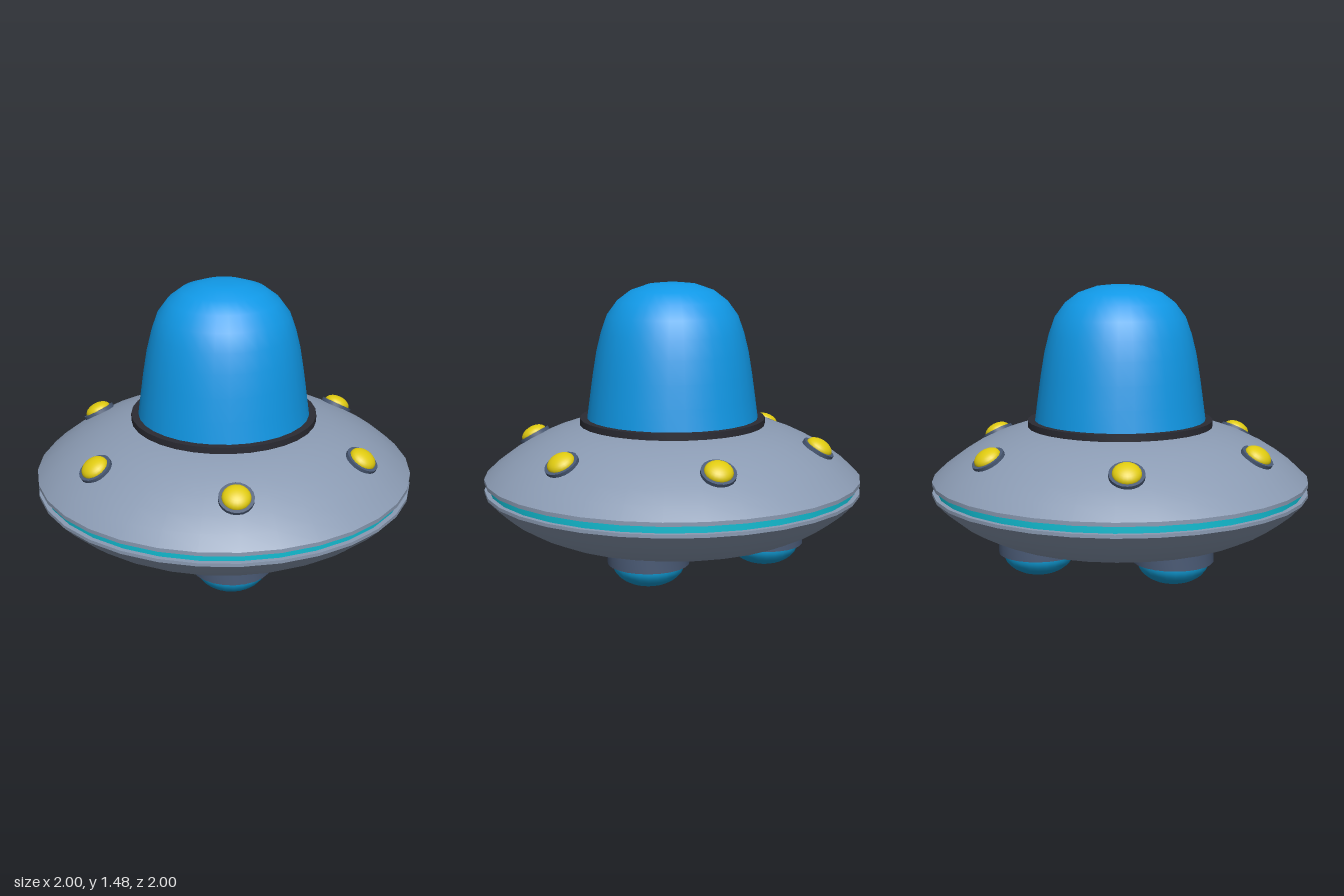
import * as THREE from 'three';
import { toCreasedNormals } from 'three/addons/utils/BufferGeometryUtils.js';

const material = (name, color) => new THREE.MeshStandardMaterial({ name, color });

export function createModel() {
  const hullGrey = material('hull grey', 0x8b9bb3);
  const slate = material('slate', 0x4a5a75);
  const charcoal = material('charcoal', 0x2b2b33);
  const domeBlue = material('dome blue', 0x1098e6);
  const podBlue = material('pod blue', 0x109cd6);
  const cyan = material('cyan', 0x12bdd2);
  const yellow = material('yellow', 0xdfca10);

  const model = new THREE.Group();
  model.name = 'saucer';

  const add = (parent, name, geometry, mat) => {
    const mesh = new THREE.Mesh(geometry, mat);
    mesh.name = name;
    parent.add(mesh);
    return mesh;
  };
  // Profiles run from bottom to top as [radius, height]
  const lathe = (points, segments = 32, crease = 0.6) =>
    toCreasedNormals(new THREE.LatheGeometry(points.map(p => new THREE.Vector2(...p)), segments), crease);

  // Hull: two shallow bowls with a groove between their rims
  add(model, 'lowerHull', lathe([
    [0, 0.13], [0.3, 0.131], [0.5, 0.143], [0.62, 0.16], [0.72, 0.188], [0.81, 0.23],
    [0.88, 0.274], [0.945, 0.327], [1, 0.385], [1, 0.402], [0.97, 0.402],
  ]), hullGrey);
  add(model, 'upperHull', lathe([
    [0.97, 0.44], [1, 0.44], [1, 0.46], [0.935, 0.521], [0.86, 0.576], [0.77, 0.632],
    [0.67, 0.68], [0.58, 0.712], [0.48, 0.737], [0.4, 0.745],
  ]), hullGrey);
  add(model, 'glowStripe', lathe([[0.975, 0.4], [0.975, 0.442]]), cyan);

  // Cockpit
  add(model, 'collar', lathe([[0.44, 0.728], [0.492, 0.728], [0.492, 0.768], [0.4, 0.768]]), charcoal);
  add(model, 'cockpitDome', lathe([
    [0.455, 0.76], [0.439, 0.88], [0.422, 1.0], [0.402, 1.12], [0.377, 1.22], [0.345, 1.31],
    [0.29, 1.385], [0.22, 1.438], [0.125, 1.471], [0.06, 1.478], [0, 1.478],
  ]), domeBlue);

  // Six lights, tilted to lie on the upper hull
  for (let i = 0; i < 6; i++) {
    const angle = i * Math.PI / 3;
    const light = new THREE.Group();
    light.name = 'hullLight';
    light.position.set(0.778 * Math.sin(angle), 0.627, 0.778 * Math.cos(angle));
    light.rotation.set(0.53, angle, 0, 'YXZ');
    add(light, 'lightRing', lathe([[0.088, -0.03], [0.088, 0.014], [0, 0.014]], 20), slate);
    const bulb = new THREE.SphereGeometry(0.072, 20, 8, 0, Math.PI * 2, 0, Math.PI / 2);
    bulb.scale(1, 0.6, 1).translate(0, 0.012, 0);
    add(light, 'lightBulb', bulb, yellow);
    model.add(light);
  }

  // Four landing pods under the hull
  for (let i = 0; i < 4; i++) {
    const angle = i * Math.PI / 2;
    const pod = new THREE.Group();
    pod.name = 'landingPod';
    pod.position.set(0.5 * Math.sin(angle), 0.115, 0.5 * Math.cos(angle));
    add(pod, 'podHousing', lathe([[0, 0], [0.206, 0], [0.206, 0.068], [0, 0.068]], 24), slate);
    const dome = new THREE.SphereGeometry(0.182, 24, 8, 0, Math.PI * 2, Math.PI / 2, Math.PI / 2);
    dome.scale(1, 0.115 / 0.182, 1);
    add(pod, 'podDome', dome, podBlue);
    model.add(pod);
  }

  return model;
}
